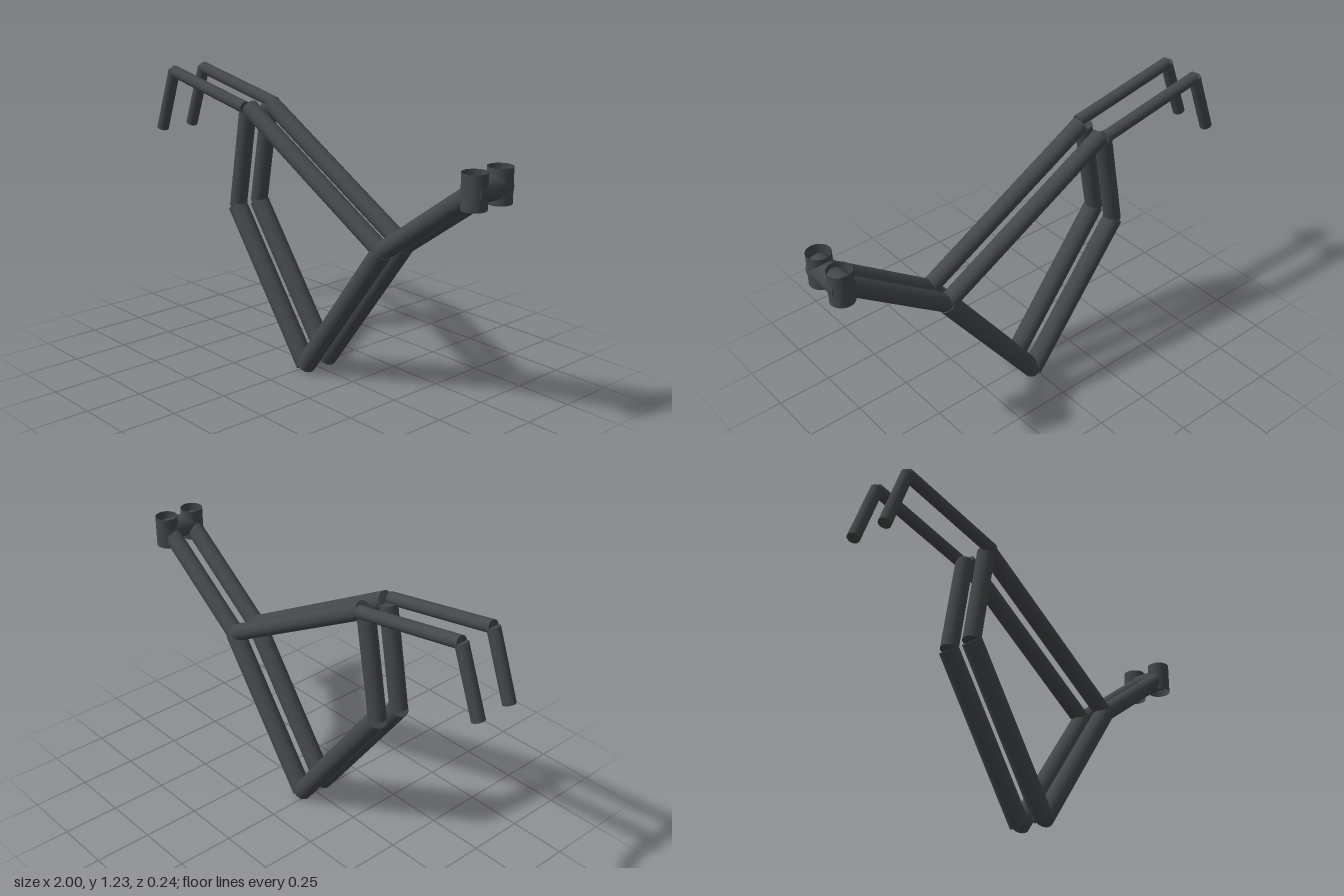
import * as THREE from 'three';

const material = new THREE.MeshStandardMaterial({ color: 0x444648, side: THREE.DoubleSide });

// Straight round tube between two points
function tube(name, a, b, radius, open = false) {
  const from = new THREE.Vector3(...a), to = new THREE.Vector3(...b);
  const dir = to.clone().sub(from);
  const mesh = new THREE.Mesh(new THREE.CylinderGeometry(radius, radius, dir.length(), 32, 1, open), material);
  mesh.position.copy(from).add(to).multiplyScalar(0.5);
  mesh.quaternion.setFromUnitVectors(new THREE.Vector3(0, 1, 0), dir.normalize());
  mesh.name = name;
  return mesh;
}

export function createModel() {
  const frame = new THREE.Group();
  frame.name = 'bikeFrame';

  // Frame joints in the side plane
  const bottom = [0.02, 0.026], rearJoint = [-0.44, 0.65], seatTop = [-0.36, 1.1];
  const topRear = [-0.345, 1.108], frontJoint = [0.475, 0.65], head = [0.945, 0.99];
  const tailStart = [-0.35, 1.11], tailEnd = [-0.87, 1.205], tailTip = [-0.976, 0.925];

  // Name, start, end, radius, distance from the centre plane
  const tubes = [
    ['downTube', bottom, frontJoint, 0.043, 0.062],
    ['lowerRearTube', bottom, rearJoint, 0.043, 0.062],
    ['seatTube', rearJoint, seatTop, 0.038, 0.06],
    ['topTube', topRear, frontJoint, 0.038, 0.062],
    ['neckTube', frontJoint, head, 0.039, 0.061],
    ['tailTube', tailStart, tailEnd, 0.027, 0.084],
    ['tailLeg', tailEnd, tailTip, 0.027, 0.084],
  ];

  for (const [label, side] of [['left', -1], ['right', 1]]) {
    const half = new THREE.Group();
    half.name = label + 'HalfFrame';
    for (const [name, a, b, radius, offset] of tubes) {
      half.add(tube(name, [...a, side * offset], [...b, side * offset], radius));
    }
    // Hollow upright head sleeve
    half.add(tube('headSleeve', [0.945, 0.922, side * 0.07], [0.945, 1.062, side * 0.07], 0.05, true));
    frame.add(half);
  }

  // Bar joining the two head sleeves
  frame.add(tube('headCrossbar', [0.945, 0.99, -0.09], [0.945, 0.99, 0.09], 0.051));
  return frame;
}
